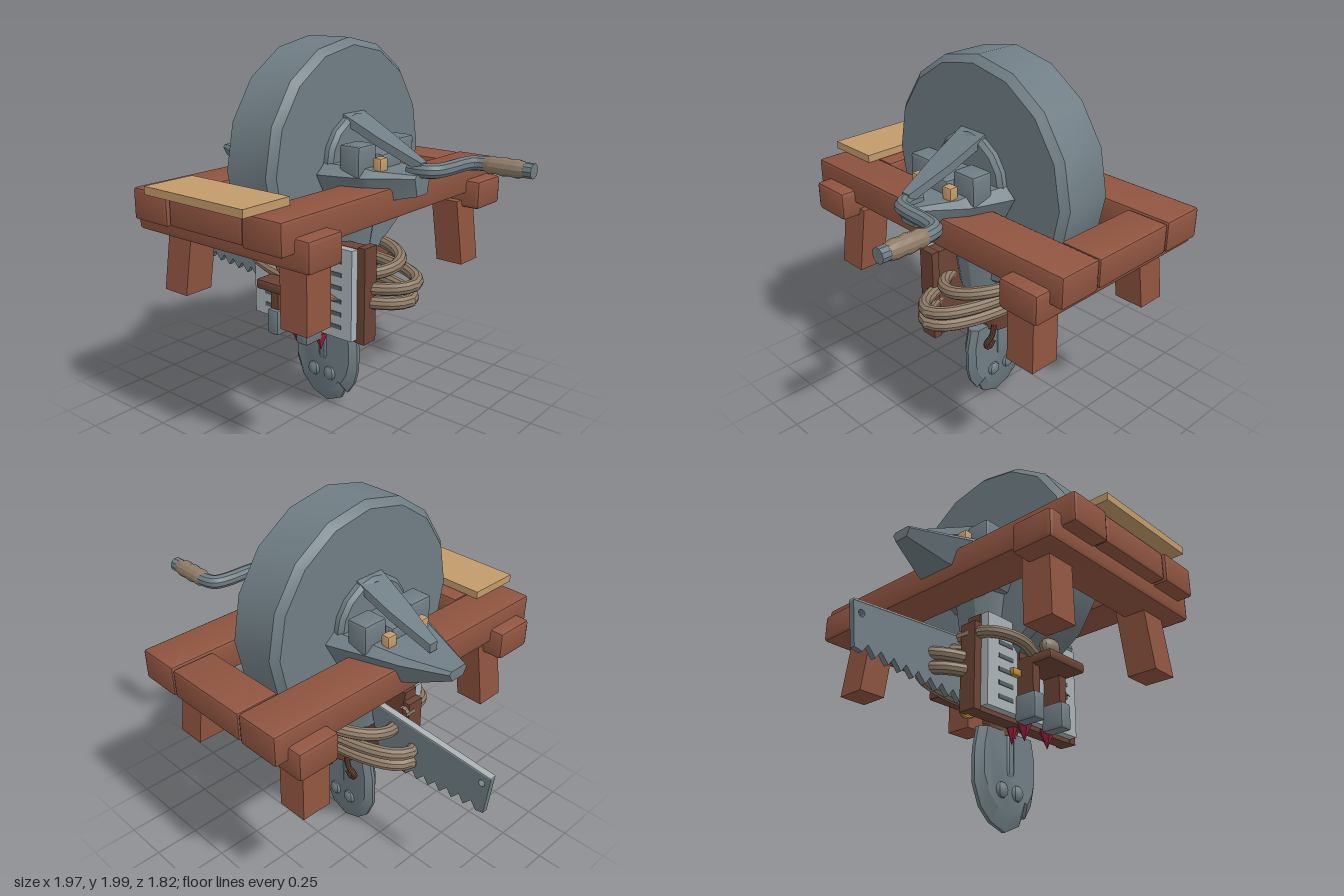
import * as THREE from 'three';
import { toCreasedNormals } from 'three/addons/utils/BufferGeometryUtils.js';
import { RoundedBoxGeometry } from 'three/addons/geometries/RoundedBoxGeometry.js';

const mat = (name, color) => Object.assign(new THREE.MeshStandardMaterial({ color }), { name });

export function createModel() {
  const iron = mat('iron', 0x6f7d84), wood = mat('redWood', 0x8f5440), dark = mat('darkWood', 0x6b4435);
  const rope = mat('rope', 0x8e7b66), tan = mat('paleWood', 0xc19a6b), steel = mat('lightSteel', 0xaab2b6);
  const gold = mat('gold', 0xbf8c30), red = mat('red', 0x9c2140), slot = mat('slotGrey', 0x566169);
  const root = new THREE.Group();
  root.name = 'grindstoneBench';

  const add = (name, geo, material, x = 0, y = 0, z = 0) => {
    const mesh = new THREE.Mesh(toCreasedNormals(geo, 0.5), material);
    mesh.name = name;
    mesh.position.set(x, y, z);
    root.add(mesh);
    return mesh;
  };
  // Box given by its limits, with optional chamfered edges
  const box = (name, material, x0, x1, y0, y1, z0, z1, bevel = 0) => {
    const s = [x1 - x0, y1 - y0, z1 - z0];
    const g = bevel ? new RoundedBoxGeometry(...s, 1, bevel) : new THREE.BoxGeometry(...s);
    return add(name, g, material, (x0 + x1) / 2, (y0 + y1) / 2, (z0 + z1) / 2);
  };
  const tube = (name, material, pts, r, closed = false, seg = 40) => {
    const curve = new THREE.CatmullRomCurve3(pts.map(p => new THREE.Vector3(...p)), closed, 'centripetal');
    return add(name, new THREE.TubeGeometry(curve, seg, r, 10, closed), material);
  };
  // Capped solid through equal rings of points; the winding is corrected by volume
  const loft = (rings) => {
    const n = rings[0].length, pos = rings.flat(2), idx = [];
    for (let i = 0; i < rings.length - 1; i++)
      for (let j = 0; j < n; j++) {
        const a = i * n + j, b = i * n + (j + 1) % n;
        idx.push(a, b, a + n, b, b + n, a + n);
      }
    const e = (rings.length - 1) * n;
    for (let j = 1; j < n - 1; j++) idx.push(0, j + 1, j, e, e + j, e + j + 1);
    const v = k => new THREE.Vector3(...pos.slice(k * 3, k * 3 + 3));
    let vol = 0;
    for (let k = 0; k < idx.length; k += 3) vol += v(idx[k]).dot(v(idx[k + 1]).cross(v(idx[k + 2])));
    if (vol < 0) idx.reverse();
    const g = new THREE.BufferGeometry();
    g.setAttribute('position', new THREE.Float32BufferAttribute(pos, 3));
    g.setIndex(idx);
    g.computeVertexNormals();
    return g;
  };

  // Grinding wheel and hub
  const C = -0.03;
  const disc = (name, R, w, c) => {
    const p = [[0, -w], [R - c, -w], [R, -w + c], [R, w - c], [R - c, w], [0, w]].map(q => new THREE.Vector2(...q));
    const g = new THREE.LatheGeometry(p, 16);
    g.rotateZ(-Math.PI / 2);
    add(name, g, iron, -0.005, 1.4, C);
  };
  disc('grindingWheel', 0.6, 0.16, 0.035);
  disc('hub', 0.235, 0.205, 0.02);

  // Bench rails, end boards and cross beams
  box('railRight', wood, -0.49, -0.25, 1.16, 1.32, -0.91, 0.85, 0.015);
  box('railLeft', wood, 0.24, 0.475, 1.16, 1.32, -0.91, 0.85, 0.015);
  box('frontBoard', wood, -0.245, 0.235, 1.165, 1.315, 0.54, 0.84, 0.015);
  box('backBoard', wood, -0.245, 0.235, 1.165, 1.315, -0.91, -0.68, 0.015);
  box('frontBeam', wood, -0.565, 0.555, 1.08, 1.235, 0.54, 0.77, 0.02);
  box('backBeam', wood, -0.565, 0.555, 1.08, 1.235, -0.84, -0.61, 0.02);

  // Splayed legs
  for (const s of [-1, 1])
    for (const [zt, zb] of [[0.585, 0.615], [-0.645, -0.675]]) {
      const ring = (x, y, z) => [[-1, -1], [1, -1], [1, 1], [-1, 1]].map(([a, b]) => [x + a * 0.08, y, z + b * 0.082]);
      add('leg', loft([ring(s * 0.398, 0.76, zb), ring(s * 0.37, 1.12, zt)]), wood);
    }

  // Loose board on the bench
  box('looseBoard', tan, -0.325, 0.315, 1.32, 1.36, 0.62, 0.91);

  // Tapered axle brackets, braces, bearing blocks and wedges on both sides
  const bracketRing = (x, top, mid, bot, h) =>
    [[-0.8, top], [0.8, top], [1, mid], [0.65, bot], [-0.65, bot], [-1, mid]].map(([a, y]) => [x, y, C + a * h]);
  const finRing = (x, y, h) => [[x, y, C - h], [x, y, C + h], [x, y - 0.045, C + h], [x, y - 0.045, C - h]];
  for (const s of [-1, 1]) {
    const tip = s < 0
      ? [bracketRing(-0.52, 1.39, 1.36, 1.24, 0.16), bracketRing(-0.73, 1.375, 1.36, 1.32, 0.06)]
      : [bracketRing(0.4, 1.4, 1.37, 1.24, 0.2), bracketRing(0.575, 1.385, 1.37, 1.28, 0.065)];
    add('axleBracket', loft([bracketRing(s * 0.16, 1.42, 1.37, 1.18, 0.29),
      bracketRing(s * 0.37, 1.41, 1.37, 1.22, 0.22), ...tip]), iron);
    add('brace', loft([finRing(s * 0.14, 1.645, 0.085), finRing(s * 0.36, 1.54, 0.065), finRing(s * 0.58, 1.44, 0.025)]), iron);
    box('axle', iron, Math.min(s * 0.15, s * 0.4), Math.max(s * 0.15, s * 0.4), 1.36, 1.47, C - 0.08, C + 0.08, 0.02);
    for (const t of [-1, 1]) {
      const zc = C + t * 0.155, xc = s * 0.305;
      box('bearingBlock', iron, xc - 0.06, xc + 0.06, 1.36, 1.52, zc - 0.07, zc + 0.07, 0.015);
      box('wedge', tan, s * 0.405 - 0.025, s * 0.405 + 0.025, 1.36, 1.46, C + t * 0.11 - 0.03, C + t * 0.11 + 0.03, 0.01);
    }
  }

  // Crank with wrapped grip
  tube('crank', iron, [[0.5, 1.4, C], [0.58, 1.4, C], [0.625, 1.4, -0.06], [0.64, 1.4, -0.14],
    [0.645, 1.4, -0.27], [0.665, 1.4, -0.335], [0.72, 1.4, -0.355], [0.8, 1.4, -0.355]], 0.037);
  const grip = new THREE.LatheGeometry([[0, 0], [0.036, 0], [0.046, 0.03], [0.042, 0.06], [0.048, 0.1], [0.043, 0.13],
    [0.047, 0.17], [0.038, 0.21], [0, 0.21]].map(q => new THREE.Vector2(...q)), 12);
  add('crankGrip', grip.rotateZ(-Math.PI / 2), rope, 0.73, 1.4, -0.355);
  add('crankTip', new THREE.CylinderGeometry(0.038, 0.038, 0.08, 10).rotateZ(Math.PI / 2), iron, 0.945, 1.4, -0.355);

  // Neck under the wheel, collar and wrapped socket
  const cone = (name, m, r1, r0, y0, y1, sx, sz, z) =>
    add(name, new THREE.CylinderGeometry(r1, r0, y1 - y0, 14).scale(sx, 1, sz), m, 0, (y0 + y1) / 2, z);
  cone('neck', iron, 0.22, 0.165, 0.78, 1.25, 1.3, 1, C);
  cone('collar', iron, 0.12, 0.1, 0.6, 0.8, 1.1, 1, -0.04);
  cone('socketWrap', dark, 0.09, 0.075, 0.48, 0.62, 1.2, 1, -0.04);

  // Spade blade with nick, ridge and rivets
  const outline = [[-0.19, 0.5], [-0.215, 0.38], [-0.215, 0.22], [-0.17, 0.11], [-0.1, 0.045], [0, 0.01], [0.1, 0.055],
    [0.125, 0.11], [0.145, 0.1], [0.19, 0.17], [0.21, 0.25], [0.21, 0.38], [0.185, 0.5]];
  // Sections narrow towards the edge so that the rim is bevelled
  const bladeRing = (k, z) => outline.map(([x, y]) => [x * k, 0.5 - (0.5 - y) * k, z]);
  const bladeHalf = [bladeRing(0.85, -0.06), bladeRing(1, -0.03), bladeRing(1, -0.01), bladeRing(0.85, 0.025)];
  add('spadeBlade', loft(bladeHalf), iron);
  add('spadeRidge', new THREE.CapsuleGeometry(0.05, 0.2, 4, 10), iron, 0, 0.4, -0.015);
  for (const x of [-0.062, 0.048])
    for (const z of [-0.055, 0.02])
      add('rivet', new THREE.SphereGeometry(0.042, 8, 6).scale(1, 1, 0.7), iron, x, 0.2, z);

  // Saw with hole and toothed lower edge
  const saw = new THREE.Shape([[-0.985, 0.885], [-0.96, 0.665]].map(q => new THREE.Vector2(...q)));
  for (let i = 0; i < 9; i++) {
    const x = -0.96 + i * 0.075, y = 0.665 - i * 0.008;
    saw.lineTo(x + 0.045, y - 0.01);
    saw.lineTo(x + 0.075, y + 0.032);
  }
  saw.lineTo(-0.2, 0.94);
  saw.holes.push(new THREE.Path().absarc(-0.935, 0.835, 0.018, 0, Math.PI * 2, true));
  add('sawBlade', new THREE.ExtrudeGeometry(saw, { depth: 0.03, bevelEnabled: false, curveSegments: 8 }), iron, 0, 0, -0.05);
  add('sawSpine', loft([[-0.985, 0.885], [-0.2, 0.94]].map(([x, y]) =>
    [[x, y, -0.053], [x, y, -0.017], [x, y + 0.008, -0.017], [x, y + 0.008, -0.053]])), steel);

  // Slotted steel plate on a wooden backing
  box('plateBacking', dark, -0.345, 0.335, 0.5, 1.0, 0.06, 0.14);
  for (const x of [-0.362, 0.35]) box('plateSide', dark, x - 0.022, x + 0.022, 0.5, x < 0 ? 0.95 : 1.01, 0.05, 0.145);
  box('slottedPlate', steel, -0.34, 0.325, 0.52, 1.0, 0.145, 0.19);
  for (let i = 0; i < 6; i++)
    for (const x of [-0.215, 0.21])
      box('plateSlot', slot, x - 0.05, x + 0.05, 0.57 + i * 0.07, 0.592 + i * 0.07, 0.19, 0.194);

  // Straps with iron cups in front of the plate
  for (const x of [-0.105, 0.095]) {
    box('strap', dark, x - 0.025, x + 0.025, 0.6, 0.95, 0.18, 0.205);
    box('strapHandle', dark, x - 0.025, x + 0.025, 0.58, 0.8, 0.2, 0.29);
    box('cup', iron, x - 0.038, x + 0.038, 0.48, 0.62, 0.18, 0.31, 0.015);
  }
  box('crossBar', dark, -0.13, 0.14, 0.76, 0.815, -0.45, 0.4, 0.015);

  // Red points below the plate
  for (const [x, z, r] of [[-0.06, 0.17, 0.05], [0.11, 0.17, 0.05], [-0.05, 0.08, 0.035]])
    add('redPoint', new THREE.ConeGeometry(r, 0.1, 5).rotateX(Math.PI).scale(0.7, 1, 1), red, x, 0.46, z);

  // Coiled rope, loose strand and end knot
  for (const [y, a, b, zc, tilt] of [[0.715, 0.505, 0.19, -0.06, -0.04], [0.795, 0.515, 0.2, -0.08, -0.1], [0.86, 0.38, 0.23, -0.1, -0.16]]) {
    const pts = [];
    for (let i = 0; i < 16; i++) {
      const t = i / 8 * Math.PI, z = b * Math.sin(t);
      pts.push([a * Math.cos(t), y + tilt * z, zc + z]);
    }
    tube('ropeLoop', rope, pts, 0.034, true, 48);
  }
  tube('ropeStrand', rope, [[-0.36, 0.9, 0.02], [-0.33, 0.89, 0.2], [-0.2, 0.86, 0.28], [-0.05, 0.81, 0.26], [0.12, 0.785, 0.23]], 0.032);
  add('ropeKnot', new THREE.SphereGeometry(0.062, 12, 8).scale(1, 0.8, 0.7), rope, -0.01, 0.88, 0.3);

  // Gold clasp with ring at the back, small gold ends in front
  const clasp = box('clasp', gold, -0.12, 0.12, 0.69, 0.76, -0.22, -0.18, 0.012);
  clasp.rotation.x = 0.4;
  const ring = add('claspRing', new THREE.TorusGeometry(0.055, 0.014, 8, 16), gold, 0, 0.71, -0.26);
  ring.rotation.x = 0.7;
  for (const x of [-0.155, 0.145]) box('goldEnd', gold, x - 0.03, x + 0.03, 0.71, 0.75, 0.18, 0.215, 0.008);
  add('ropeTip', new THREE.ConeGeometry(0.028, 0.1, 8).rotateZ(-Math.PI / 2), rope, 0.22, 0.73, 0.2);

  // Small hooks hanging behind the spade
  for (const x of [-0.09, 0.09])
    tube('hook', dark, [[x, 0.54, -0.11], [x * 1.1, 0.46, -0.1], [x * 1.3, 0.4, -0.075], [x, 0.37, -0.07], [x * 0.7, 0.41, -0.075]], 0.016, false, 16);

  return root;
}
